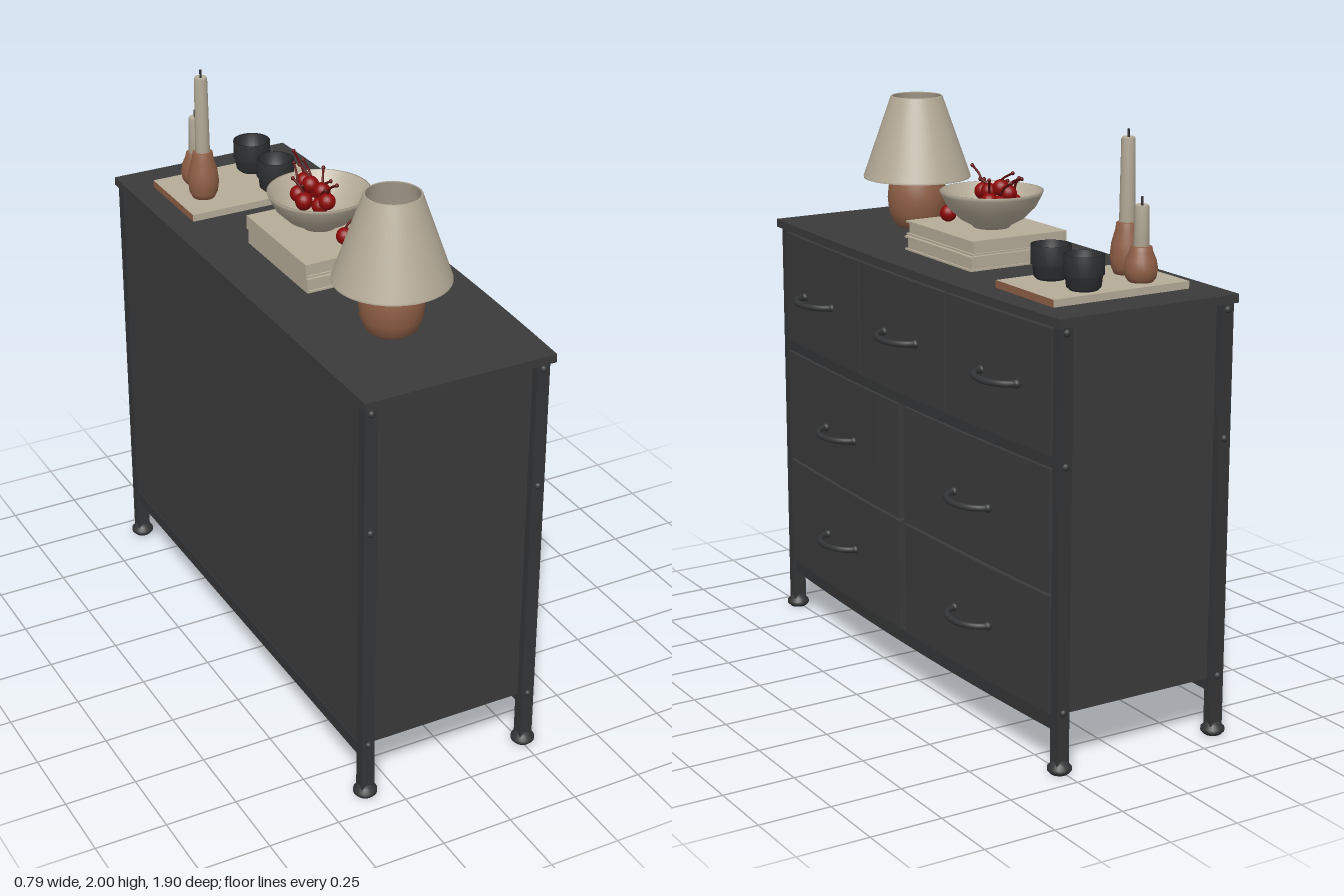
import * as THREE from 'three';

const mat = (name, color, side = THREE.FrontSide) => {
  const m = new THREE.MeshStandardMaterial({ color, side });
  m.name = name;
  return m;
};

export function createModel() {
  const charcoal = mat('charcoal', 0x3a3a3b);
  const iron = mat('iron', 0x343536);
  const cream = mat('cream', 0xb5ab98, THREE.DoubleSide);
  const clay = mat('clay', 0x8f5f46);
  const cherryRed = mat('cherry red', 0x8c0808);
  const stemRed = mat('stem red', 0x5c0d0d);
  const cupBlack = mat('cup black', 0x2e2f31);
  const root = new THREE.Group();
  root.name = 'dresser';

  const add = (name, geo, material, x = 0, y = 0, z = 0, parent = root) => {
    const m = new THREE.Mesh(geo, material);
    m.name = name;
    m.position.set(x, y, z);
    parent.add(m);
    return m;
  };
  // Box given by its limits
  const box = (name, material, x0, x1, y0, y1, z0, z1) =>
    add(name, new THREE.BoxGeometry(x1 - x0, y1 - y0, z1 - z0), material,
      (x0 + x1) / 2, (y0 + y1) / 2, (z0 + z1) / 2);
  const lathe = (pts, seg = 32) =>
    new THREE.LatheGeometry(pts.map(p => new THREE.Vector2(p[0], p[1])), seg);
  const tube = (pts, r, seg = 16) => new THREE.TubeGeometry(
    new THREE.CatmullRomCurve3(pts.map(p => new THREE.Vector3(...p))), seg, r, 8);

  // Board whose drawer-side edge follows the gentle bow of the cabinet
  const bow = z => 0.03 * (1 - (z / 0.945) ** 2);
  const bowed = (name, material, xBack, xEdge, y0, y1, z0, z1) => {
    const s = new THREE.Shape();
    s.moveTo(xBack, -z0);
    s.lineTo(xBack, -z1);
    for (let i = 0; i <= 12; i++) {
      const z = z1 + (z0 - z1) * i / 12;
      s.lineTo(xEdge + bow(z), -z);
    }
    s.closePath();
    const g = new THREE.ExtrudeGeometry(s, { depth: y1 - y0, bevelEnabled: false });
    g.rotateX(-Math.PI / 2);
    return add(name, g, material, 0, y0, 0);
  };

  // Cabinet
  box('cabinetBody', charcoal, -0.365, 0.27, 0.2, 1.476, -0.9, 0.9);
  bowed('tabletop', charcoal, -0.383, 0.295, 1.476, 1.505, -0.942, 0.942);
  bowed('frontBottomRail', iron, 0.25, 0.272, 0.15, 0.2, -0.9, 0.9);
  box('backBottomRail', iron, -0.368, -0.335, 0.155, 0.2, -0.9, 0.9);

  // Legs with feet and bolts
  for (const x of [-0.352, 0.258]) {
    for (const s of [-1, 1]) {
      const z = s * 0.908;
      box('leg', iron, x - 0.023, x + 0.023, 0.03, 1.476, z - 0.02, z + 0.02);
      add('foot', lathe([[0, 0.005], [0.03, 0.005], [0.04, 0.016], [0.04, 0.027],
        [0.028, 0.038], [0.022, 0.05], [0, 0.05]], 20), iron, x, 0, z);
      for (const y of [0.215, 1.03, 1.455]) {
        const bolt = add('bolt', new THREE.SphereGeometry(0.013, 12, 8), iron, x, y, z + s * 0.02);
        bolt.scale.z = 0.8;
      }
    }
  }

  // Drawers and arched handles
  const drawer = (z0, z1, y0, y1, hz, hy) => {
    bowed('drawerFront', charcoal, 0.26, 0.284, y0, y1, z0, z1);
    const x = 0.282 + bow(hz), pts = [];
    for (let i = 0; i <= 12; i++) {
      const a = Math.PI * i / 12;
      pts.push([x + 0.074 * Math.sin(a), hy, hz - 0.105 * Math.cos(a)]);
    }
    add('handle', tube(pts, 0.011, 24), iron);
    for (const s of [-1, 1])
      add('handleEnd', new THREE.SphereGeometry(0.015, 12, 8), iron, x + 0.004, hy, hz + s * 0.105);
  };
  drawer(0.295, 0.885, 1.06, 1.464, 0.61, 1.255);
  drawer(-0.285, 0.285, 1.06, 1.464, 0, 1.255);
  drawer(-0.885, -0.295, 1.06, 1.464, -0.61, 1.255);
  for (const [y0, y1, hy] of [[0.61, 1.018, 0.805], [0.205, 0.6, 0.4]]) {
    drawer(0.02, 0.885, y0, y1, 0.45, hy);
    drawer(-0.885, -0.02, y0, y1, -0.45, hy);
  }
  bowed('middleRail', iron, 0.26, 0.276, 1.02, 1.058, -0.89, 0.89);

  // Lamp
  const lamp = new THREE.Group();
  lamp.name = 'lamp';
  lamp.position.set(-0.08, 0, 0.56);
  root.add(lamp);
  add('lampBase', lathe([[0, 1.505], [0.068, 1.505], [0.085, 1.52], [0.102, 1.56], [0.107, 1.61],
    [0.103, 1.65], [0.092, 1.685], [0.088, 1.695]]), clay, 0, 0, 0, lamp);
  add('lampCap', new THREE.CylinderGeometry(0.089, 0.089, 0.006, 32), charcoal, 0, 1.696, 0, lamp);
  add('lampSocket', new THREE.CylinderGeometry(0.012, 0.012, 0.02, 12), clay, 0, 1.705, 0, lamp);
  add('lampShade', lathe([[0.192, 1.685], [0.192, 1.692], [0.093, 1.975], [0.089, 1.978],
    [0.086, 1.974], [0.187, 1.69]], 48), cream, 0, 0, 0, lamp);

  // Two stacked books
  for (const [y, dx, dz] of [[1.505, 0, 0], [1.558, -0.004, -0.004]]) {
    const x0 = -0.198 + dx, x1 = 0.172 + dx, z0 = -0.224 + dz, z1 = 0.212 + dz;
    box('bookBackCover', cream, x0, x1, y, y + 0.006, z0, z1);
    box('bookPages', cream, x0 + 0.008, x1 - 0.008, y + 0.006, y + 0.042, z0 + 0.006, z1 - 0.008);
    box('bookFrontCover', cream, x0, x1, y + 0.042, y + 0.049, z0, z1);
    box('bookSpine', cream, x0, x0 + 0.006, y, y + 0.049, z0, z1);
  }

  // Bowl
  add('bowl', lathe([[0, 1.608], [0.06, 1.608], [0.07, 1.618], [0.11, 1.64], [0.15, 1.68], [0.172, 1.722],
    [0.176, 1.734], [0.17, 1.734], [0.145, 1.69], [0.1, 1.65], [0.05, 1.63], [0, 1.626]], 40),
  cream, -0.02, 0, -0.045);

  // Cherries: position of each fruit and the tip of its stem
  const cherries = [
    [-0.06, 1.70, -0.12, -0.05, 1.79, -0.17], [0.0, 1.70, -0.13, 0.0, 1.78, -0.20],
    [-0.03, 1.735, -0.135, -0.015, 1.80, -0.24], [-0.07, 1.70, -0.06, -0.09, 1.77, -0.1],
    [0.005, 1.70, -0.07, 0.03, 1.78, -0.11], [-0.035, 1.745, -0.08, -0.05, 1.80, -0.13],
    [-0.03, 1.69, -0.02, -0.03, 1.76, 0.02], [-0.025, 1.72, 0.02, -0.02, 1.80, 0.08],
    [-0.055, 1.68, -0.09, -0.08, 1.76, -0.05], [-0.01, 1.73, -0.045, 0.01, 1.77, -0.02],
    [0.055, 1.636, 0.115, 0.03, 1.705, 0.14], [-0.015, 1.636, 0.125, 0.03, 1.705, 0.14],
  ];
  for (const [x, y, z, tx, ty, tz] of cherries) {
    add('cherry', new THREE.SphereGeometry(0.029, 16, 12), cherryRed, x, y, z);
    add('cherryStem', tube([[x, y + 0.025, z],
      [x + (tx - x) * 0.35, y + (ty - y) * 0.7, z + (tz - z) * 0.35], [tx, ty, tz]], 0.004, 8), stemRed);
    add('stemTip', new THREE.SphereGeometry(0.007, 8, 6), stemRed, tx, ty, tz);
  }

  // Tray: cream with clay ends
  box('tray', [clay, clay, cream, cream, cream, cream], -0.293, 0.225, 1.505, 1.53, -0.8, -0.465);

  // Cups
  for (const z of [-0.725, -0.537])
    add('cup', lathe([[0, 1.53], [0.046, 1.53], [0.056, 1.54], [0.06, 1.575], [0.066, 1.58], [0.066, 1.643],
      [0.058, 1.643], [0.05, 1.56], [0, 1.555]]), cupBlack, 0.062, 0, z);

  // Candles in rounded holders
  for (const [x, z, holderTop, candleTop] of [[-0.19, -0.597, 1.7, 1.975], [-0.16, -0.72, 1.645, 1.778]]) {
    const h = holderTop - 1.53;
    const profile = [[0, 0], [0.04, 0], [0.05, 0.12], [0.055, 0.35], [0.05, 0.6], [0.038, 0.85],
      [0.035, 0.98], [0.03, 1], [0, 1]].map(([r, t]) => [r, 1.53 + t * h]);
    add('candleHolder', lathe(profile, 24), clay, x, 0, z);
    add('candle', lathe([[0, holderTop - 0.01], [0.026, holderTop - 0.01], [0.023, candleTop - 0.006],
      [0.019, candleTop], [0, candleTop - 0.004]], 20), cream, x, 0, z);
    add('wick', new THREE.CylinderGeometry(0.004, 0.004, 0.03, 8), cupBlack, x, candleTop + 0.01, z);
  }
  return root;
}
